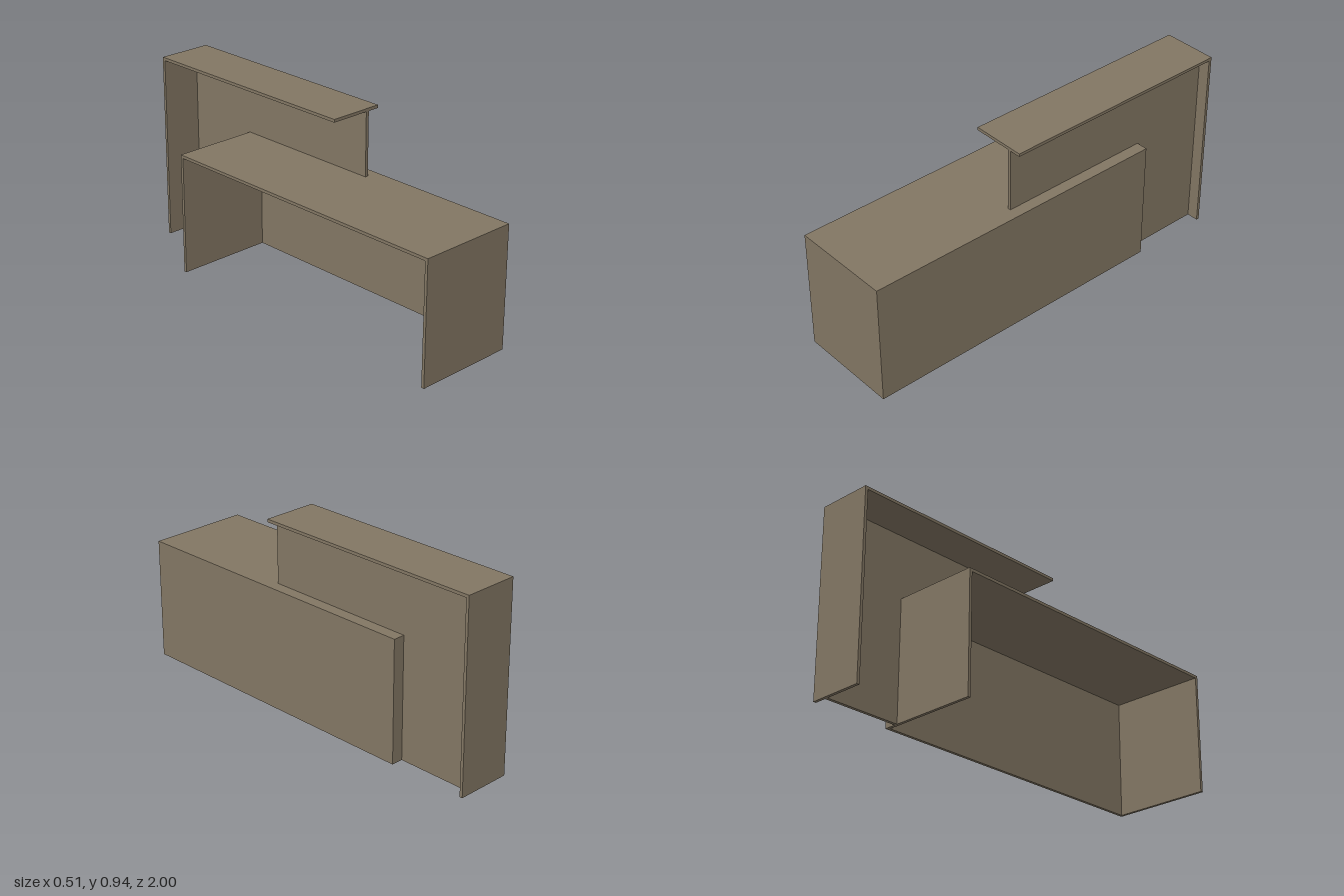
import * as THREE from 'three';

export function createModel() {
  const group = new THREE.Group();
  group.name = 'receptionDesk';
  const board = new THREE.MeshStandardMaterial({ color: 0x827663 });
  board.name = 'taupe board';

  const T = 0.015; // board thickness
  const W = 0.257; // half width
  const deskH = 0.612, counterH = 0.945;
  const deskBack = -0.59, counterFront = 0.205, counterX = -0.02;

  // Board given by its minimum and maximum corners
  function panel(name, [x0, y0, z0], [x1, y1, z1]) {
    const mesh = new THREE.Mesh(new THREE.BoxGeometry(x1 - x0, y1 - y0, z1 - z0), board);
    mesh.position.set((x0 + x1) / 2, (y0 + y1) / 2, (z0 + z1) / 2);
    mesh.name = name;
    group.add(mesh);
  }

  // Low desk, open on the -x side
  panel('deskTop', [-W, deskH - T, deskBack], [W, deskH, 1]);
  panel('deskFrontPanel', [W - T, 0, deskBack], [W, deskH - T, 1]);
  panel('deskEndNear', [-W, 0, 1 - T], [W - T, deskH - T, 1]);
  panel('deskEndFar', [-W, 0, deskBack], [W - T, deskH - T, deskBack + T]);

  // Raised counter with its end support
  panel('counterTop', [counterX, counterH - T, -1], [W, counterH, counterFront]);
  panel('counterEnd', [counterX, 0, -1], [W, counterH - T, -1 + T]);

  // L-shaped upright: rests on the desk and reaches the floor behind it
  const outline = [
    [-1 + T, 0], [deskBack, 0], [deskBack, deskH],
    [counterFront, deskH], [counterFront, counterH - T], [-1 + T, counterH - T],
  ];
  const shape = new THREE.Shape(outline.map(([z, y]) => new THREE.Vector2(-z, y)));
  const upright = new THREE.Mesh(
    new THREE.ExtrudeGeometry(shape, { depth: 0.016, bevelEnabled: false }), board);
  upright.rotation.y = Math.PI / 2; // shape x becomes -z, depth becomes +x
  upright.position.x = 0.182;
  upright.name = 'counterUpright';
  group.add(upright);

  return group;
}
